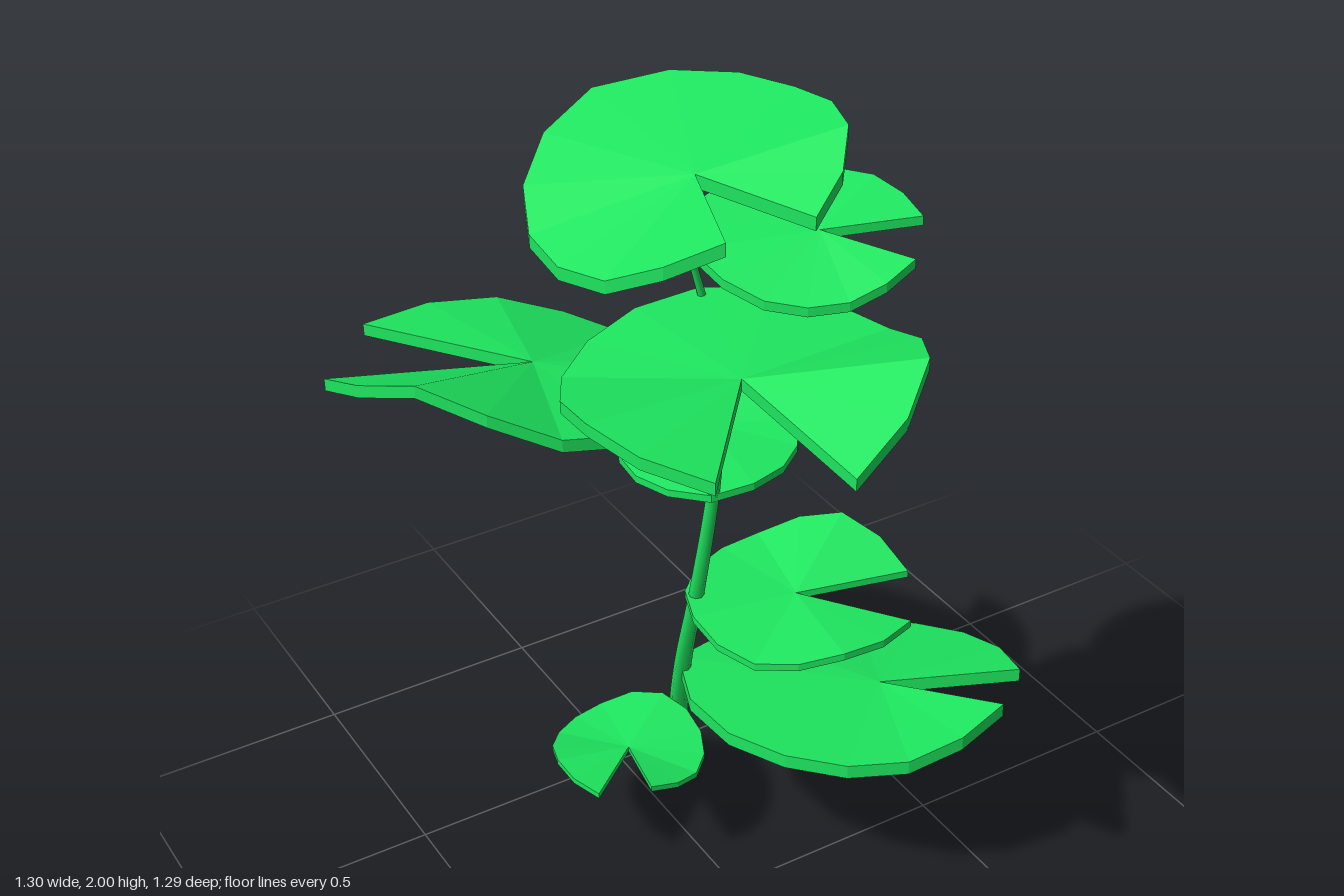
import * as THREE from 'three';

const SPOKES = 15;                        // rim points of every leaf
const NOTCH = THREE.MathUtils.degToRad(39.4);
const STEP = (Math.PI * 2 - NOTCH) / (SPOKES - 1);

const green = new THREE.MeshStandardMaterial({ color: 0x1ee65f });
green.name = 'leaf green';

// hub: [x, y, z]; notch: heading of the cut in degrees (x towards z);
// radii: [tip, side, back]; rim: key heights around the edge, in hundredths
const LEAVES = [
  { hub: [-0.115, 0.26, -0.25], notch: 122, radii: [0.165, 0.165, 0.185],
    rim: [26, 28, 25, 25, 28, 25.5, 24.5, 28] },
  { hub: [0.355, 0.42, 0.013], notch: 48, radii: [0.3, 0.328, 0.45],
    rim: [50, 45, 44, 41, 37, 33.5, 38, 44] },
  { hub: [0.195, 0.66, -0.075], notch: 33, radii: [0.25, 0.228, 0.23],
    rim: [65.5, 66.5, 63.5, 66, 66, 66.5, 72, 66] },
  { hub: [0.115, 0.985, -0.295], notch: -61, radii: [0.168, 0.19, 0.235],
    rim: [104, 100, 97, 96.5, 95.5, 95.5, 99, 99] },
  { hub: [-0.275, 1.25, -0.29], notch: 219.5, radii: [0.395, 0.332, 0.375],
    rim: [123, 121, 115, 120, 124, 127.5, 137, 126] },
  { hub: [-0.165, 1.47, 0.29], notch: 109, radii: [0.345, 0.315, 0.345],
    rim: [148, 150, 144.5, 146, 147, 147, 155, 145.5] },
  { hub: [0.08, 1.63, 0.155], notch: 41, radii: [0.187, 0.19, 0.26],
    rim: [162, 158, 158, 162, 164, 165.5, 166.5, 164] },
  { hub: [-0.31, 1.93, 0.385], notch: 90, radii: [0.235, 0.254, 0.33],
    rim: [193, 185, 185, 192, 197.5, 198.5, 200, 193] },
];

// Notched round leaf: a faceted fan with a thin wall and a matching underside
function leafGeometry({ hub, notch, radii: [tip, side, back], rim }) {
  const thickness = 0.07 * back;
  const start = THREE.MathUtils.degToRad(notch) + NOTCH / 2;
  const heights = new THREE.SplineCurve(rim.map((h, i) => new THREE.Vector2(i, h / 100)));
  const loop = [new THREE.Vector3(...hub)];
  for (let i = 0; i < SPOKES; i++) {
    // quadratic blend of the radius from the notch tips to the back
    const u = i / (SPOKES - 1);
    const t = 1 - Math.abs(u * 2 - 1);
    const r = tip * (1 - t) * (1 - 2 * t) + side * 4 * t * (1 - t) + back * t * (2 * t - 1);
    const a = start + i * STEP;
    loop.push(new THREE.Vector3(
      hub[0] + r * Math.cos(a), heights.getPoint(u).y, hub[2] + r * Math.sin(a)));
  }
  const under = loop.map(p => p.clone().setY(p.y - thickness));
  const tris = [];
  for (let i = 1; i < SPOKES; i++) {
    tris.push(loop[0], loop[i + 1], loop[i]);
    tris.push(under[0], under[i], under[i + 1]);
  }
  for (let i = 0; i < loop.length; i++) {
    const j = (i + 1) % loop.length;
    tris.push(loop[i], loop[j], under[j], loop[i], under[j], under[i]);
  }
  const geometry = new THREE.BufferGeometry().setFromPoints(tris);
  geometry.computeVertexNormals();        // unshared corners give flat facets
  return geometry;
}

// Curved stem, a tube that narrows towards the top
function buildStem() {
  const curve = new THREE.CatmullRomCurve3([
    [0.165, 0.012, -0.455], [0.085, 0.18, -0.375], [0.04, 0.4, -0.28], [0.016, 0.67, -0.175],
    [0.01, 1.0, -0.09], [-0.005, 1.25, -0.043], [-0.06, 1.45, -0.012], [-0.125, 1.64, 0.01],
    [-0.215, 1.81, 0.03], [-0.325, 1.93, 0.05],
  ].map(p => new THREE.Vector3(...p)));
  const segments = 32, sides = 8, base = 0.023, top = 0.003;
  const tube = new THREE.TubeGeometry(curve, segments, base, sides);
  const pos = tube.attributes.position;
  const v = new THREE.Vector3();
  for (let i = 0; i <= segments; i++) {
    const centre = curve.getPointAt(i / segments);
    const scale = THREE.MathUtils.lerp(1, top / base, i / segments);
    for (let j = 0; j <= sides; j++) {
      const k = i * (sides + 1) + j;
      v.fromBufferAttribute(pos, k).sub(centre).multiplyScalar(scale).add(centre);
      pos.setXYZ(k, v.x, v.y, v.z);
    }
  }
  const stem = new THREE.Group();
  stem.name = 'stem';
  const stalk = new THREE.Mesh(tube, green);
  stalk.name = 'stalk';
  stem.add(stalk);
  // Discs closing both ends
  [['stalkBase', 0, base, -1], ['stalkTip', 1, top, 1]].forEach(([name, u, radius, dir]) => {
    const cap = new THREE.Mesh(new THREE.CircleGeometry(radius, sides), green);
    cap.name = name;
    cap.position.copy(curve.getPointAt(u));
    cap.lookAt(cap.position.clone().addScaledVector(curve.getTangentAt(u), dir));
    stem.add(cap);
  });
  return stem;
}

export function createModel() {
  const model = new THREE.Group();
  model.name = 'climbingPlant';
  model.add(buildStem());
  LEAVES.forEach((spec, i) => {
    const leaf = new THREE.Mesh(leafGeometry(spec), green);
    leaf.name = `leaf${i + 1}`;
    model.add(leaf);
  });
  return model;
}
